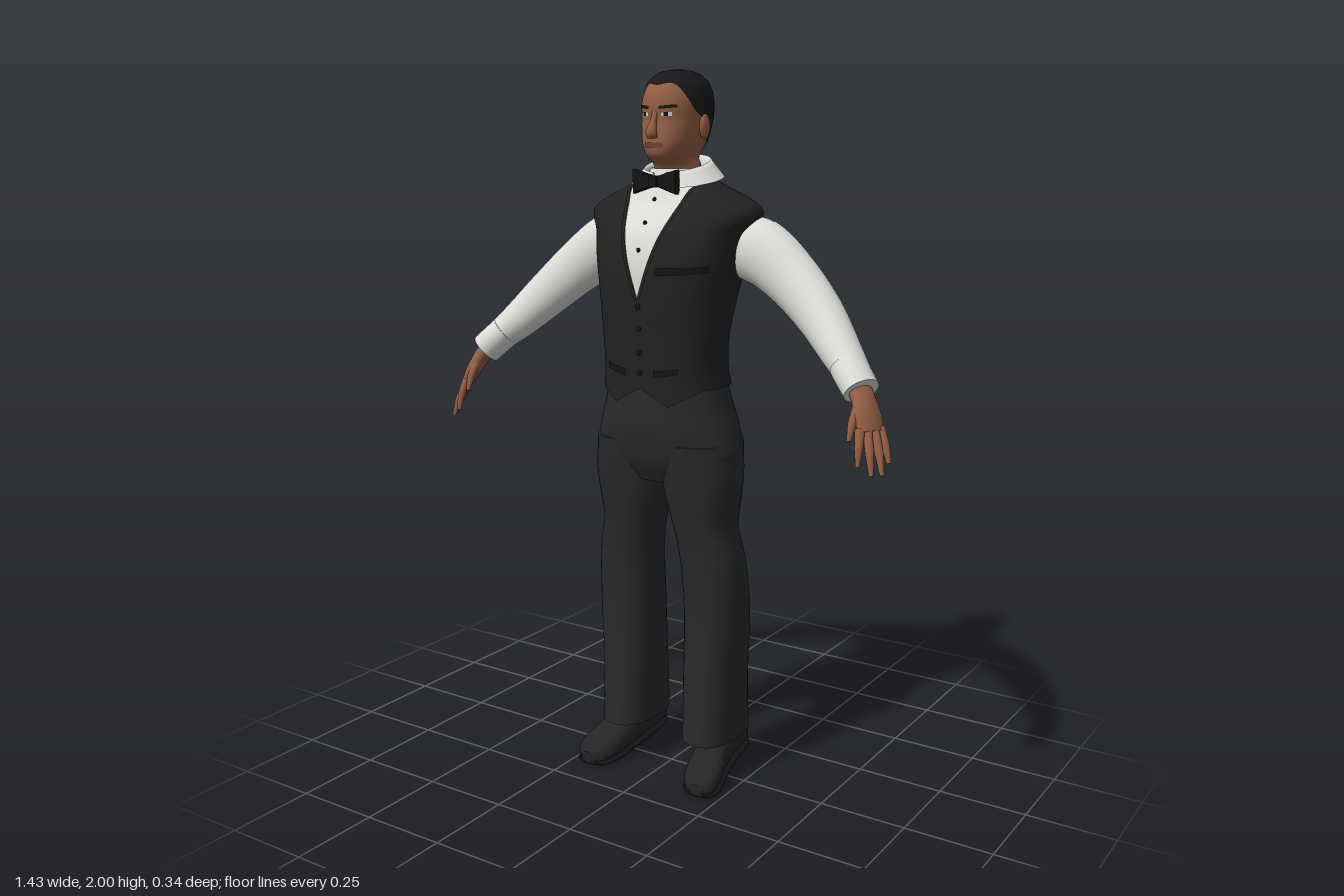
import * as THREE from 'three';

const V = (x, y, z) => new THREE.Vector3(x, y, z);
const mat = (name, color, side = THREE.FrontSide) => {
  const m = new THREE.MeshStandardMaterial({ color, side });
  m.name = name;
  return m;
};

// Surface from f(u, v); closed wraps u, caps close the first and last rows.
function grid(f, nu, nv, closed = true, cap0 = false, cap1 = false) {
  const pos = [], idx = [], w = closed ? nu : nu + 1;
  const push = p => pos.push(p.x, p.y, p.z) / 3 - 1;
  for (let j = 0; j <= nv; j++) for (let i = 0; i < w; i++) push(f(i / nu, j / nv));
  for (let j = 0; j < nv; j++) for (let i = 0; i < nu; i++) {
    const k = (i + 1) % w, a = j * w + i, b = j * w + k;
    idx.push(a, b, b + w, a, b + w, a + w);
  }
  for (const v of [cap0 ? 0 : -1, cap1 ? 1 : -1]) {
    if (v < 0) continue;
    const mid = V(0, 0, 0), ring = [];
    for (let i = 0; i < nu; i++) { const p = f(i / nu, v); mid.add(p); ring.push(push(p)); }
    const c = push(mid.divideScalar(nu));
    ring.forEach((a, i) => {
      const b = ring[(i + 1) % nu];
      if (v) idx.push(c, a, b); else idx.push(c, b, a);
    });
  }
  const g = new THREE.BufferGeometry();
  g.setAttribute('position', new THREE.Float32BufferAttribute(pos, 3));
  g.setIndex(idx);
  g.computeVertexNormals();
  return g;
}

// Smoothly interpolate table rows [key, ...values] at a key.
function sample(t, y) {
  let i = 0;
  while (i < t.length - 2 && y > t[i + 1][0]) i++;
  const p = t[i], q = t[i + 1], h = q[0] - p[0], s = (y - p[0]) / h;
  const o = t[Math.max(0, i - 1)], r = t[Math.min(t.length - 1, i + 2)];
  return p.map((_, k) => {
    const m0 = (q[k] - o[k]) / (q[0] - o[0]) * h, m1 = (r[k] - p[k]) / (r[0] - p[0]) * h;
    return (2 * s ** 3 - 3 * s * s + 1) * p[k] + (s ** 3 - 2 * s * s + s) * m0
      + (3 * s * s - 2 * s ** 3) * q[k] + (s ** 3 - s * s) * m1;
  });
}
const spow = (x, e) => Math.sign(x) * Math.abs(x) ** e;

// Body tables: [y, centreX, halfWidth, zFront, zBack, squareness]
function surf(t, y, ang, off = 0) {
  const [, cx, a, zf, zb, n] = sample(t, y);
  return V(cx + (a + off) * spow(Math.sin(ang), 2 / n), y,
    (zf + zb) / 2 + ((zf - zb) / 2 + off) * spow(Math.cos(ang), 2 / n));
}
const loft = (t, nu, nv, c0, c1) => grid((u, v) =>
  surf(t, t[0][0] + v * (t[t.length - 1][0] - t[0][0]), u * Math.PI * 2), nu, nv, true, c0, c1);
function faceZ(t, x, y, side = 1) {
  const [, cx, a, zf, zb, n] = sample(t, y);
  const q = Math.min(1, Math.abs(x - cx) / a);
  return (zf + zb) / 2 + side * (zf - zb) / 2 * (1 - q ** n) ** (1 / n);
}
// Thin strip lying on a body table's front (side 1) or back (side -1).
const strip = (t, x0, y0, x1, y1, h, off = 0.004, side = 1) => grid((u, v) => {
  const k = side > 0 ? u : 1 - u, x = x0 + (x1 - x0) * k, y = y0 + (y1 - y0) * k + (v - 0.5) * h;
  return V(x, y, faceZ(t, x, y, side) + side * off);
}, 10, 2, false);

// Tube with elliptical sections: rows [x, y, z, r1, r2]; r2 lies along the hint axis.
function limb(rows, hint, nu = 20, nv = 20) {
  const curve = new THREE.CatmullRomCurve3(rows.map(r => V(r[0], r[1], r[2])));
  return grid((u, v) => {
    const k = Math.min(rows.length - 2, Math.floor(v * (rows.length - 1))), s = v * (rows.length - 1) - k;
    const r = i => rows[k][i] * (1 - s) + rows[k + 1][i] * s;
    const T = curve.getTangent(v), N = T.clone().cross(hint).normalize(), B = N.clone().cross(T);
    const a = u * Math.PI * 2;
    return curve.getPoint(v).addScaledVector(N, Math.cos(a) * r(3)).addScaledVector(B, -Math.sin(a) * r(4));
  }, nu, nv, true, true, true);
}
function flip(geo) {
  const g = geo.clone().applyMatrix4(new THREE.Matrix4().makeScale(-1, 1, 1));
  g.index.array.reverse();
  return g;
}

const TORSO = [
  [1.155, 0, .178, .157, -.118, 2.6], [1.2, 0, .172, .158, -.108, 2.6], [1.29, 0, .177, .16, -.103, 2.6],
  [1.4, 0, .19, .165, -.135, 2.6], [1.5, 0, .208, .162, -.163, 2.6], [1.57, 0, .225, .142, -.167, 2.5],
  [1.625, 0, .256, .105, -.16, 2.4], [1.655, 0, .225, .082, -.148, 2.4], [1.69, 0, .15, .065, -.132, 2.2],
  [1.715, 0, .09, .05, -.12, 2]];
const HIPS = [
  [.885, 0, .17, .1, -.08, 2.3], [.95, 0, .218, .133, -.112, 2.4], [1.03, 0, .206, .15, -.134, 2.4],
  [1.1, 0, .184, .15, -.125, 2.4], [1.2, 0, .16, .145, -.1, 2.4]];
const LEG = [
  [.12, .14, .075, .1, -.145, 2.5], [.3, .14, .078, .09, -.13, 2.5], [.5, .145, .085, .085, -.118, 2.4],
  [.65, .138, .088, .09, -.098, 2.3], [.75, .12, .088, .1, -.088, 2.2], [.83, .114, .102, .115, -.095, 2.2],
  [.9, .111, .111, .126, -.106, 2.2], [1.0, .105, .106, .138, -.125, 2.2]];
const HEAD = [
  [1.66, 0, .072, .035, -.1, 2], [1.73, 0, .066, .035, -.1, 2], [1.755, 0, .06, .05, -.1, 2],
  [1.767, 0, .056, .078, -.1, 2.1], [1.785, 0, .064, .088, -.103, 2.2], [1.81, 0, .073, .09, -.115, 2.3],
  [1.84, 0, .079, .087, -.127, 2.3], [1.87, 0, .082, .083, -.136, 2.3], [1.9, 0, .084, .086, -.142, 2.2],
  [1.93, 0, .082, .082, -.143, 2.1], [1.96, 0, .073, .066, -.132, 2], [1.98, 0, .056, .042, -.108, 2],
  [1.992, 0, .034, .012, -.075, 2], [1.996, 0, .003, -.03, -.036, 2]];
// Shoe: [z, centreX, halfWidth, yBottom, yTop]
const SHOE = [
  [-.145, .145, .03, .06, .11], [-.12, .146, .046, .052, .14], [-.03, .152, .048, .036, .15], [.05, .165, .052, .022, .115],
  [.11, .178, .056, .012, .085], [.15, .186, .045, .008, .062], [.166, .189, .022, .012, .042]];
// Hairline: [angle from the front, y]
const HAIRLINE = [[0, 1.957], [.6, 1.96], [.95, 1.93], [1.25, 1.892], [1.65, 1.865], [1.95, 1.825], [2.3, 1.778], [3.15, 1.765]];

export function createModel() {
  const model = new THREE.Group();
  const skin = mat('skin', 0x935f44), lip = mat('lip', 0x744234), hairMat = mat('hair', 0x181818);
  const shirt = mat('shirt', 0xdcdcd8, THREE.DoubleSide), vestMat = mat('vest', 0x222222, THREE.DoubleSide);
  const trouser = mat('trousers', 0x2a2a2b), leather = mat('shoe leather', 0x252526), trim = mat('trim', 0x131313);
  const add = (name, geo, m) => {
    const mesh = new THREE.Mesh(geo, m);
    mesh.name = name;
    model.add(mesh);
    return mesh;
  };
  const pair = (name, geo, m) => { add(name + 'Left', geo, m); add(name + 'Right', flip(geo), m); };
  const ball = (x, y, z, rx, ry, rz) => new THREE.SphereGeometry(1, 14, 10).scale(rx, ry, rz).translate(x, y, z);

  // Head, hair and face
  add('head', loft(HEAD, 40, 48, false, true), skin);
  add('hair', grid((u, v) => {
    const a = u * Math.PI * 2, y0 = sample(HAIRLINE, Math.min(a, Math.PI * 2 - a))[1];
    const p = surf(HEAD, y0 + (1.996 - y0) * (1 - (1 - v) ** 1.6), a, .004);
    p.y += .004 * v;
    return p;
  }, 48, 20, true, false, true), hairMat);
  add('nose', limb([[0, 1.89, .08, .006, .007], [0, 1.86, .09, .01, .009], [0, 1.835, .1, .014, .016], [0, 1.822, .094, .009, .016]], V(1, 0, 0), 14, 10), skin);
  pair('ear', ball(.086, 1.85, -.03, .011, .034, .021).rotateY(0), skin);
  pair('eyebrow', strip(HEAD, .016, 1.899, .058, 1.903, .008, .003), hairMat);
  pair('eye', strip(HEAD, .021, 1.882, .047, 1.882, .009, .002), shirt);
  pair('iris', strip(HEAD, .028, 1.882, .039, 1.882, .01, .003), trim);
  add('mouth', strip(HEAD, -.028, 1.802, .028, 1.802, .013, .003), lip);

  // Shirt neck, folded collar and shirt front
  add('shirtNeck', loft([[1.66, 0, .12, .062, -.13, 2], [1.7, 0, .1, .057, -.125, 2], [1.74, 0, .074, .045, -.108, 2]], 32, 6), shirt);
  add('collar', grid((u, v) => {
    const a = .2 + u * (Math.PI * 2 - .4), back = (1 - Math.cos(a)) / 2;
    const fold = v < .5 ? 0 : (v - .5) * 2, rise = Math.min(1, v * 2);
    const rx = .078 + .012 * rise + .042 * fold, rz = .08 + .012 * rise + .024 * fold;
    const y = 1.70 + rise * (.03 + .045 * back) - fold * (.042 + .004 * back);
    return V(Math.sin(a) * rx, y, -.03 + Math.cos(a) * rz);
  }, 40, 8, false), shirt);
  add('shirtFront', grid((u, v) => {
    const y = 1.4 + v * .3, x = (2 * u - 1) * .098 * v;
    return V(x, y, faceZ(TORSO, x, y) + .005);
  }, 12, 24, false), shirt);

  // Bow tie
  const bow = new THREE.Shape([[-.066, -.03], [-.012, -.012], [.012, -.012], [.066, -.03],
    [.066, .028], [.012, .012], [-.012, .012], [-.066, .028]].map(p => new THREE.Vector2(...p)));
  add('bowTie', new THREE.ExtrudeGeometry(bow, { depth: .016, bevelSize: .003, bevelThickness: .004, bevelSegments: 2 }), trim).position.set(0, 1.707, .07);
  add('bowKnot', new THREE.BoxGeometry(.026, .03, .032), trim).position.set(0, 1.707, .08);

  // Vest with pointed hem
  add('vest', grid((u, v) => {
    const p = surf(TORSO, 1.155 + v * .56, u * Math.PI * 2);
    if (p.z > 0) p.y -= .045 * Math.max(0, 1 - Math.abs(Math.abs(p.x) - .085) / .08) * (1 - v) ** 8;
    return p;
  }, 80, 44), vestMat);
  add('chestPocket', strip(TORSO, .055, 1.475, .185, 1.482, .02), trim);
  pair('waistPocket', strip(TORSO, .045, 1.198, .115, 1.21, .018), trim);
  add('backStrap', strip(TORSO, -.06, 1.25, .06, 1.25, .026, .008, -1), trim);
  pair('lapelEdge', grid((u, v) => {
    const y = 1.4 + v * .3, x = .098 * v + u * .01;
    return V(x, y, faceZ(TORSO, x, y) + .008);
  }, 2, 20, false), vestMat);
  for (const y of [1.38, 1.32, 1.255, 1.2]) add('vestButton', ball(0, y, faceZ(TORSO, 0, y) + .002, .008, .008, .004), trim);
  for (const y of [1.66, 1.6, 1.53]) add('shirtStud', ball(0, y, faceZ(TORSO, 0, y) + .006, .006, .006, .004), trim);

  // Trousers
  add('trouserSeat', loft(HIPS, 48, 20, true, true), trouser);
  pair('trouserLeg', loft(LEG, 36, 36, true, true), trouser);

  // Shoes and soles
  const shoe = (grow, top) => grid((u, v) => {
    const z = -.145 + v * .311, [, cx, w, yb, yt] = sample(SHOE, z), a = u * Math.PI * 2;
    const hi = top ? yb + top : yt, lo = top ? yb - .006 : yb;
    return V(cx + (w + grow) * spow(Math.cos(a), .75), (hi + lo) / 2 + (hi - lo) / 2 * spow(Math.sin(a), .75), z);
  }, 24, 24, true, true, true);
  pair('shoe', shoe(0, 0), leather);
  pair('sole', shoe(.004, .012), trim);

  // Sleeves and cuffs
  const fwd = V(0, 0, 1);
  pair('sleeve', limb([[.14, 1.545, -.06, .085, .072], [.25, 1.52, -.06, .09, .076], [.35, 1.455, -.048, .078, .068],
    [.45, 1.368, -.02, .067, .062], [.53, 1.288, .02, .055, .056], [.595, 1.228, .058, .043, .05]], fwd, 28, 30), shirt);
  pair('cuff', limb([[.565, 1.254, .043, .047, .054], [.59, 1.229, .058, .047, .054], [.618, 1.2, .073, .046, .052]], fwd, 24, 6), shirt);
  pair('cuffButton', ball(.618, 1.248, .085, .007, .007, .007), trim);

  // Hands
  const across = V(-.4, 0, 1).normalize();
  pair('palm', limb([[.6, 1.22, .065, .026, .032], [.628, 1.18, .08, .024, .036], [.648, 1.14, .095, .021, .044],
    [.664, 1.105, .104, .015, .042]], across, 18, 14), skin);
  const fingers = {
    indexFinger: [[.645, 1.115, .133], [.652, 1.07, .151], [.655, 1.025, .16]],
    middleFinger: [[.657, 1.11, .115], [.675, 1.055, .136], [.687, 1.003, .148]],
    ringFinger: [[.667, 1.11, .096], [.69, 1.055, .113], [.705, 1.002, .124]],
    littleFinger: [[.673, 1.115, .076], [.694, 1.07, .086], [.709, 1.028, .093]],
    thumb: [[.625, 1.17, .105], [.625, 1.125, .137], [.625, 1.085, .152]]
  };
  for (const [name, pts] of Object.entries(fingers)) {
    const radii = [.013, .0115, .006];
    pair(name, limb(pts.map((p, i) => [...p, radii[i], radii[i]]), across, 10, 8), skin);
  }
  return model;
}
